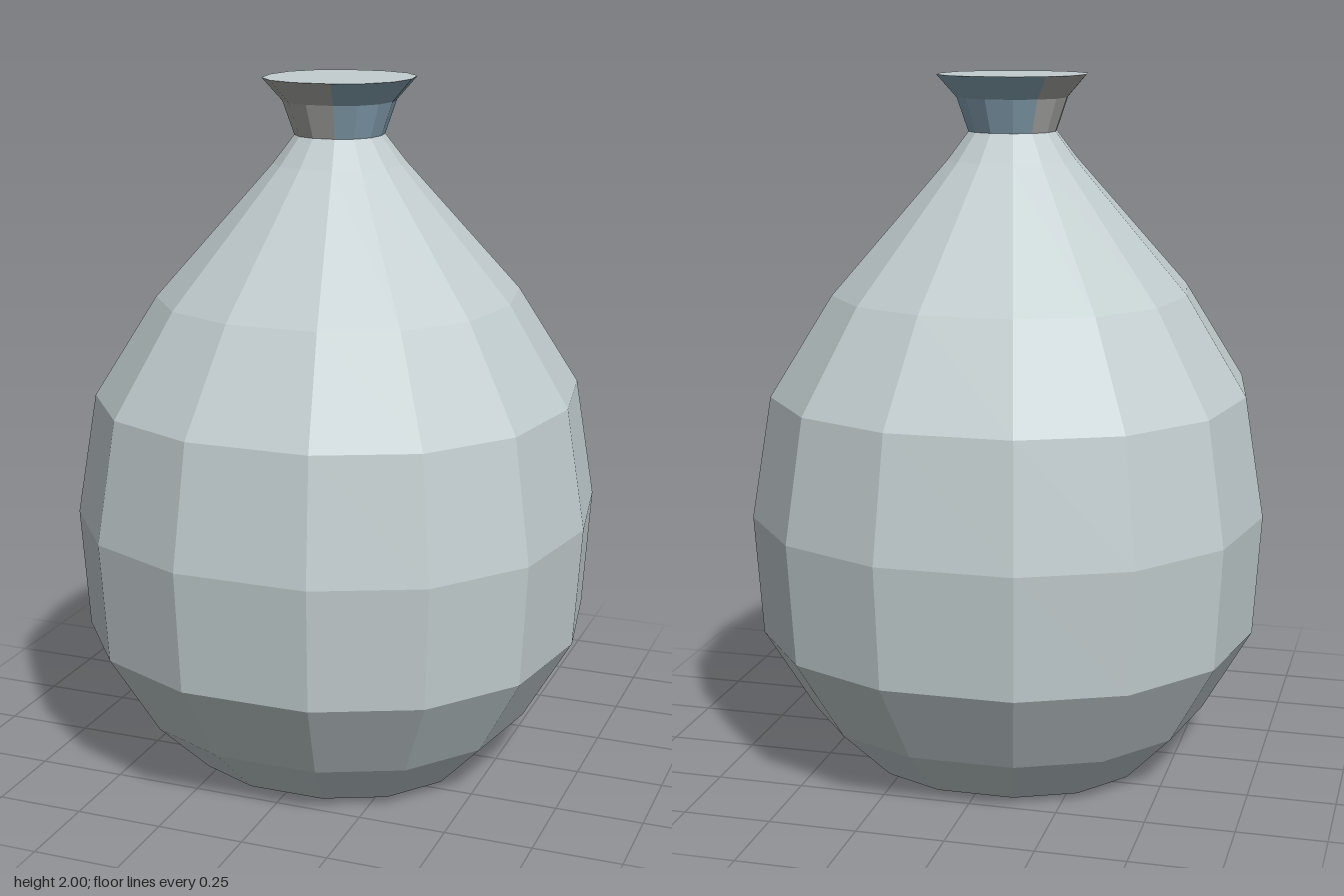
import * as THREE from 'three';

// Slightly squared 14-sided ring, one quadrant mirrored into four
const quadrant = [[0.917, 0.482], [0.652, 0.825], [0.257, 1.002]];
const flipped = [...quadrant].reverse();
const ring = [
  [1, 0], ...quadrant, ...flipped.map(([x, z]) => [-x, z]),
  [-1, 0], ...quadrant.map(([x, z]) => [-x, -z]), ...flipped.map(([x, z]) => [x, -z]),
];
const SIDES = ring.length;

// Profiles as [radius, height]
const bodyProfile = [
  [0.43, 0], [0.578, 0.155], [0.72, 0.4], [0.742, 0.75],
  [0.685, 1.1], [0.51, 1.385], [0.185, 1.76], [0.125, 1.84],
];
const neckProfile = [[0.125, 1.84], [0.157, 1.935], [0.213, 2]];

const point = ([r, y], i) => {
  const [x, z] = ring[i % SIDES];
  return [x * r, y, z * r];
};

// Unshared corners give every facet its own flat normal
function facetMesh(name, positions, material) {
  const geometry = new THREE.BufferGeometry();
  geometry.setAttribute('position', new THREE.Float32BufferAttribute(positions, 3));
  geometry.computeVertexNormals();
  const mesh = new THREE.Mesh(geometry, material);
  mesh.name = name;
  return mesh;
}

// Side facets of a profile, from side number start up to end
function wall(profile, start, end) {
  const out = [];
  for (let k = 0; k < profile.length - 1; k++) {
    for (let i = start; i < end; i++) {
      const a = point(profile[k], i), b = point(profile[k], i + 1);
      const c = point(profile[k + 1], i + 1), d = point(profile[k + 1], i);
      out.push(...a, ...d, ...c, ...a, ...c, ...b);
    }
  }
  return out;
}

// Flat disc closing one end
function cap(level, up) {
  const out = [];
  for (let i = 0; i < SIDES; i++) {
    const a = point(level, i), b = point(level, i + 1);
    out.push(0, level[1], 0, ...(up ? b : a), ...(up ? a : b));
  }
  return out;
}

export function createModel() {
  const clay = new THREE.MeshStandardMaterial({ color: 0xc3ced0 });
  clay.name = 'pale grey';
  const blue = new THREE.MeshStandardMaterial({ color: 0x8aa6b8 });
  blue.name = 'slate blue';
  const warm = new THREE.MeshStandardMaterial({ color: 0xadaeaa });
  warm.name = 'warm grey';

  const model = new THREE.Group();
  model.name = 'vase';
  model.add(
    facetMesh('body', wall(bodyProfile, 0, SIDES), clay),
    facetMesh('base', cap(bodyProfile[0], false), clay),
    // The collar is two-toned around its circumference
    facetMesh('neckGrey', wall(neckProfile, 3, 9), warm),
    facetMesh('neckBlue', wall(neckProfile, 9, SIDES + 3), blue),
    facetMesh('lid', cap(neckProfile[2], true), clay),
  );
  return model;
}
